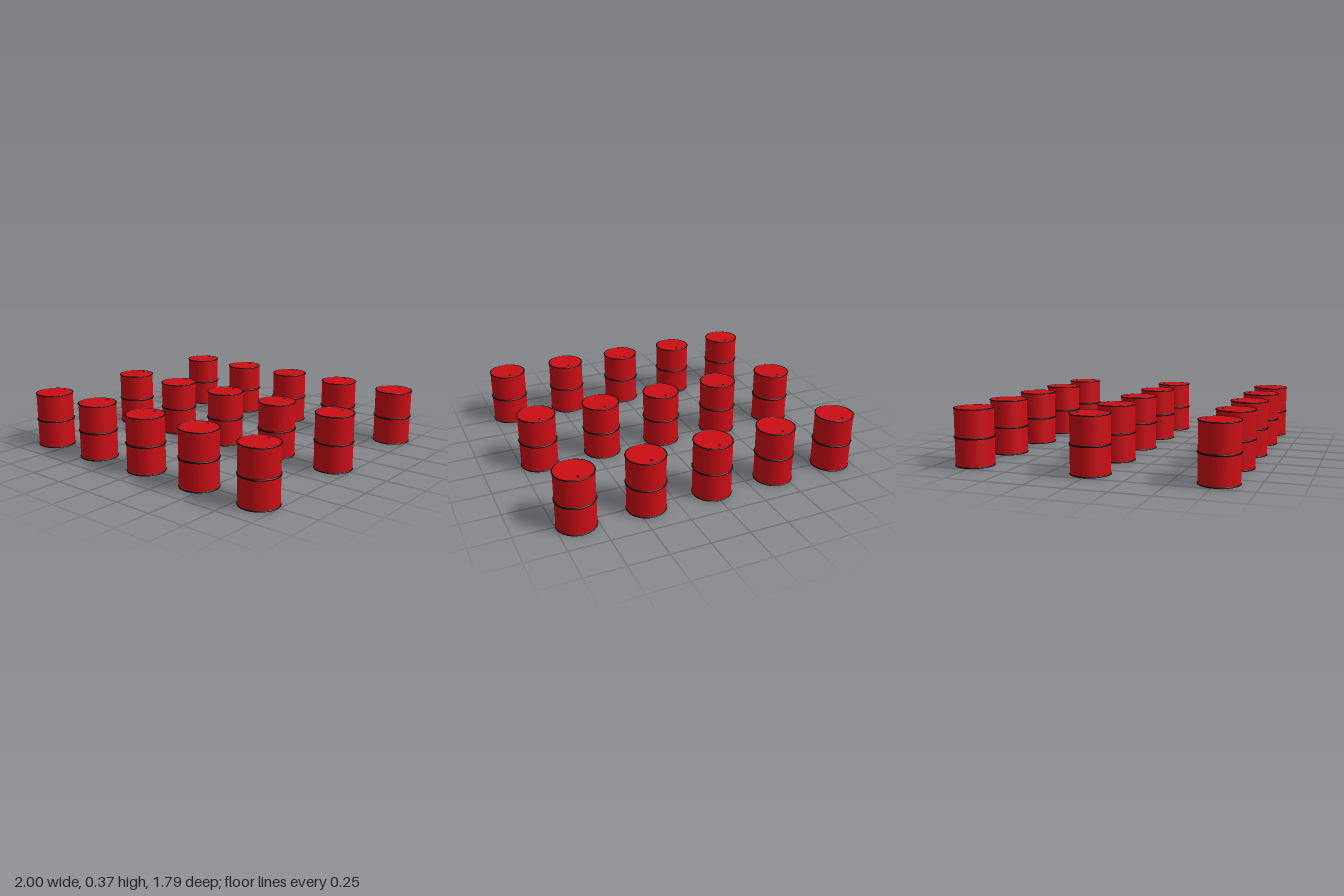
import * as THREE from 'three';

const RADIUS = 0.121;
const HEIGHT = 0.364;
const SEGMENTS = 40;

export function createModel() {
  const group = new THREE.Group();
  group.name = 'drumArray';

  const red = new THREE.MeshStandardMaterial({ color: 0xcc0d14 });
  const black = new THREE.MeshStandardMaterial({ color: 0x050505 });

  // Shared geometries
  const bodyGeo = new THREE.CylinderGeometry(RADIUS, RADIUS, HEIGHT - 0.004, SEGMENTS);
  const hoopGeo = (tube) => new THREE.TorusGeometry(RADIUS, tube, 8, SEGMENTS).rotateX(Math.PI / 2);
  const rimGeo = hoopGeo(0.004);
  const bandGeo = hoopGeo(0.006);
  const bungGeo = new THREE.CylinderGeometry(0.007, 0.007, 0.004, 16);

  function addPart(parent, name, geometry, material, y, z = 0) {
    const mesh = new THREE.Mesh(geometry, material);
    mesh.name = name;
    mesh.position.set(0, y, z);
    parent.add(mesh);
  }

  function makeDrum() {
    const drum = new THREE.Group();
    drum.name = 'drum';
    addPart(drum, 'body', bodyGeo, red, HEIGHT / 2);
    addPart(drum, 'bottomRim', rimGeo, black, 0.004);
    addPart(drum, 'middleBand', bandGeo, black, HEIGHT / 2);
    addPart(drum, 'topRim', rimGeo, black, HEIGHT - 0.004);
    // Filler cap near the back edge of the lid
    addPart(drum, 'bung', bungGeo, black, HEIGHT - 0.001, -0.081);
    return drum;
  }

  // Three rows of five drums
  for (let row = -1; row <= 1; row++) {
    for (let col = -2; col <= 2; col++) {
      const drum = makeDrum();
      drum.position.set(col * 0.4375, 0, row * 0.77);
      group.add(drum);
    }
  }
  return group;
}
